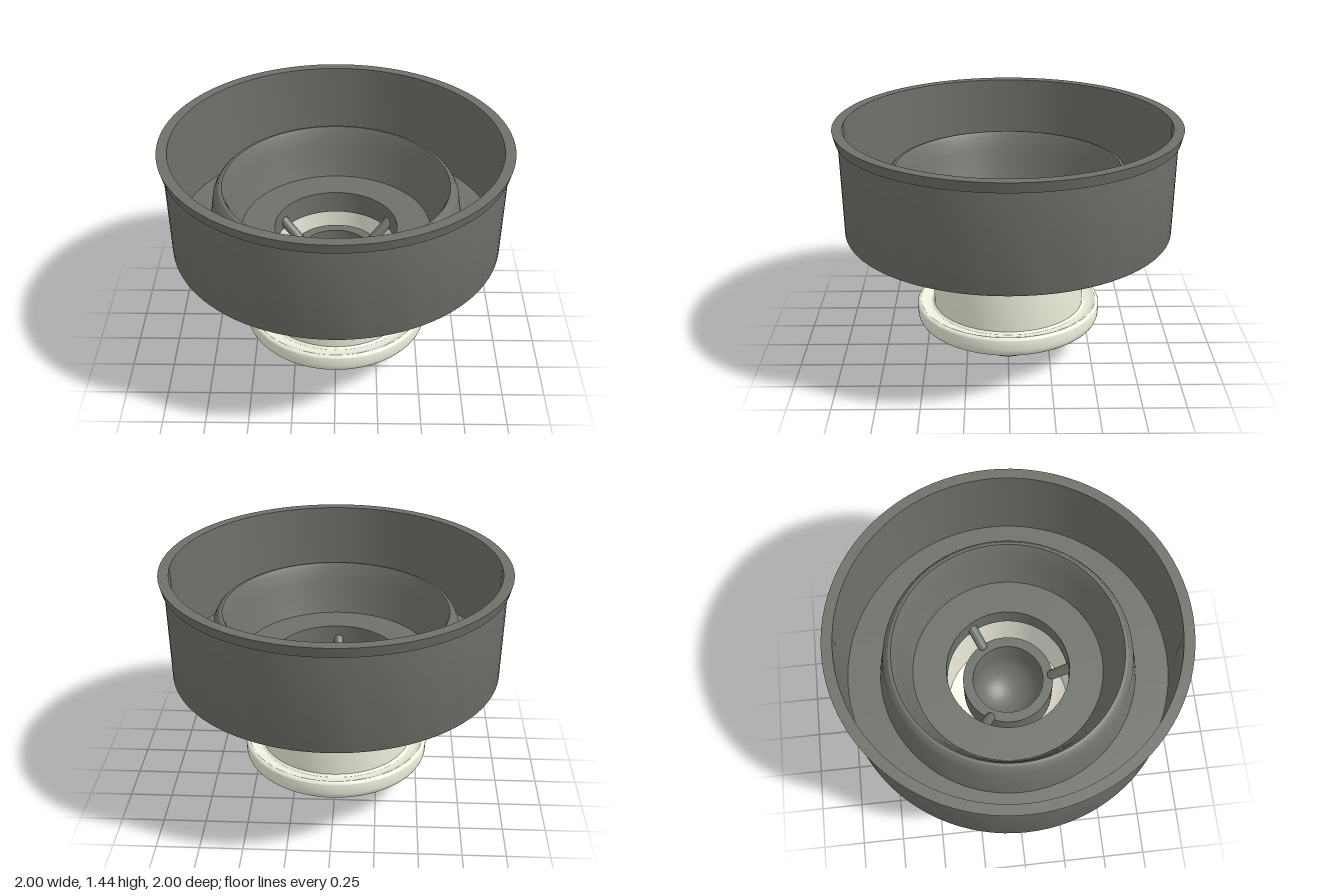
import * as THREE from 'three';
import { toCreasedNormals } from 'three/addons/utils/BufferGeometryUtils.js';

const grey = new THREE.MeshStandardMaterial({ color: 0x6e716a });
const cream = new THREE.MeshStandardMaterial({ color: 0xeeeedc });

// Points on an arc of the profile, angles in degrees
function arc(r, y, radius, from, to, steps = 6) {
  return Array.from({ length: steps + 1 }, (_, i) => {
    const a = THREE.MathUtils.degToRad(from + ((to - from) * i) / steps);
    return [r + radius * Math.cos(a), y + radius * Math.sin(a)];
  });
}

// Closed cross-section (counter-clockwise in radius, height) turned about y
function turned(name, profile, material) {
  const points = [...profile, profile[0]].map(([r, y]) => new THREE.Vector2(Math.max(r, 0), y));
  const geometry = toCreasedNormals(new THREE.LatheGeometry(points, 96), 0.5);
  const mesh = new THREE.Mesh(geometry, material);
  mesh.name = name;
  return mesh;
}

export function createModel() {
  const model = new THREE.Group();
  model.name = 'funnelBowl';

  // Wide bowl with a flared lip, a ring ridge on its floor and a short neck
  model.add(turned('bowl', [
    [0.36, 0.74], [0.4, 0.74], [0.4, 0.785], [0.45, 0.8],
    ...arc(0.94, 0.82, 0.02, -90, 0),
    [0.97, 1.38], [0.985, 1.38], [1, 1.44], [0.94, 1.44],
    [0.935, 0.88], [0.745, 0.88],
    [0.705, 1.13], [0.69, 1.16], [0.672, 1.177], [0.655, 1.18],
    [0.64, 1.15], [0.615, 1.07], [0.59, 0.98], [0.556, 0.88],
    [0.36, 0.88],
  ], grey));

  // Hollow cream body: nose, cone, rounded flange and straight sleeve
  model.add(turned('sleeve', [
    [0.087, 0.004],
    ...arc(0.155, 0.025, 0.025, -90, 0),
    [0.18, 0.08],
    ...arc(0.49, 0.262, 0.06, -68, 0),
    ...arc(0.53, 0.31, 0.022, 0, 90),
    [0.515, 0.325], [0.49, 0.315], [0.465, 0.315], [0.45, 0.325],
    ...arc(0.425, 0.75, 0.025, 0, 90),
    [0.375, 0.775], [0.375, 0.29], [0.29, 0.22], [0.087, 0.14],
  ], cream));

  // Small round-bottomed cup hanging in the middle of the sleeve
  model.add(turned('innerCup', [
    ...arc(0, 0.5, 0.27, -90, 0, 14),
    [0.27, 0.7], [0.21, 0.7],
    ...arc(0, 0.5, 0.21, 0, -90, 14),
  ], grey));

  // Three rounded ribs join the cup to the bowl's neck
  const start = new THREE.Vector3(0, 0.7, 0.265);
  const end = new THREE.Vector3(0, 0.79, 0.37);
  const along = end.clone().sub(start);
  for (let i = 0; i < 3; i++) {
    const arm = new THREE.Group();
    arm.name = `cupRib${i + 1}`;
    const rib = new THREE.Mesh(new THREE.CapsuleGeometry(0.03, along.length(), 8, 20), grey);
    rib.name = 'rib';
    rib.position.copy(start).add(end).multiplyScalar(0.5);
    rib.quaternion.setFromUnitVectors(new THREE.Vector3(0, 1, 0), along.clone().normalize());
    arm.add(rib);
    arm.rotation.y = (i * Math.PI * 2) / 3;
    model.add(arm);
  }

  return model;
}
